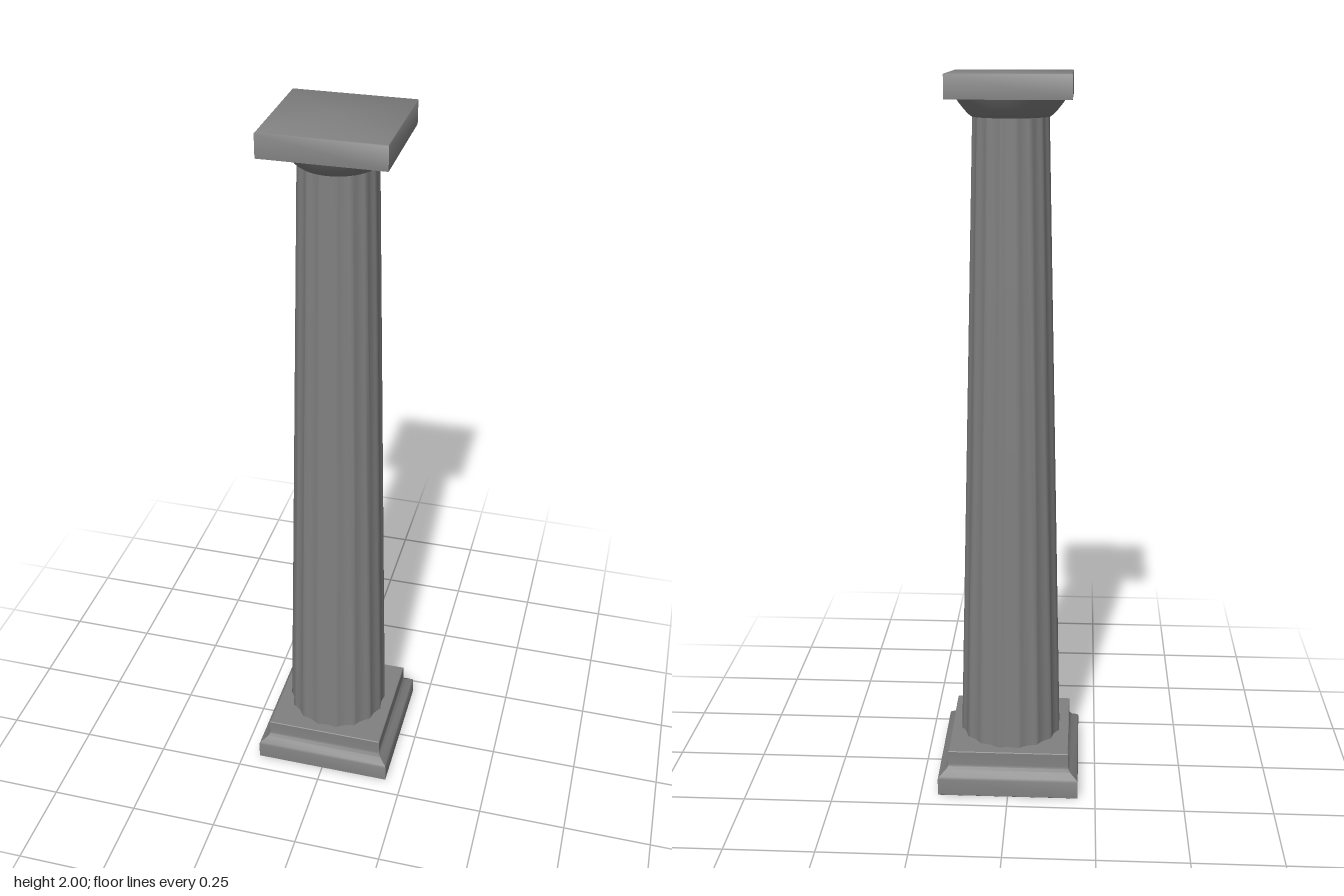
import * as THREE from 'three';
import { toCreasedNormals } from 'three/addons/utils/BufferGeometryUtils.js';

const material = new THREE.MeshStandardMaterial({ color: 0x808080 });

function part(name, geometry, crease) {
  const mesh = new THREE.Mesh(toCreasedNormals(geometry, crease), material);
  mesh.name = name;
  return mesh;
}

// Square moulding: a four-sided lathe whose profile gives half-widths.
function squareMoulding(profile) {
  const points = profile.map(([half, y]) => new THREE.Vector2(half * Math.SQRT2, y));
  return new THREE.LatheGeometry(points, 4, Math.PI / 4);
}

// Tapered shaft with shallow concave flutes.
function flutedShaft(y0, y1, r0, r1, flutes = 16, steps = 6, depth = 0.05) {
  const outline = [];
  for (let i = 0; i < flutes * steps; i++) {
    const t = (i % steps) / steps;
    const r = 1 - depth * Math.sin(Math.PI * t);
    const a = ((i / steps + 0.5) / flutes) * Math.PI * 2;
    outline.push(new THREE.Vector2(r * Math.cos(a), r * Math.sin(a)));
  }
  const geometry = new THREE.ExtrudeGeometry(new THREE.Shape(outline), {
    depth: 1, bevelEnabled: false, steps: 4,
  });
  geometry.rotateX(-Math.PI / 2);
  const p = geometry.attributes.position;
  for (let i = 0; i < p.count; i++) {
    const t = p.getY(i);
    const r = THREE.MathUtils.lerp(r0, r1, t);
    p.setXYZ(i, p.getX(i) * r, THREE.MathUtils.lerp(y0, y1, t), p.getZ(i) * r);
  }
  return geometry;
}

export function createModel() {
  const column = new THREE.Group();
  column.name = 'column';

  // Stepped square base with a sloping shoulder
  column.add(part('base', squareMoulding([
    [0, 0], [0.199, 0], [0.2, 0.001], [0.2, 0.05], [0.197, 0.057], [0.178, 0.07],
    [0.173, 0.078], [0.172, 0.085], [0.172, 0.123], [0.17, 0.125], [0, 0.125],
  ]), 0.7));

  // Fluted shaft, its ridges softly shaded
  column.add(part('shaft', flutedShaft(0.12, 1.9, 0.146, 0.102), 1.2));

  // Round flaring cushion under the top slab
  const cushion = [[0, 1.888], [0.104, 1.888], [0.112, 1.894], [0.124, 1.907],
    [0.136, 1.922], [0.147, 1.938], [0, 1.938]].map(([r, y]) => new THREE.Vector2(r, y));
  column.add(part('capitalCushion', new THREE.LatheGeometry(cushion, 48), 0.6));

  // Square top slab with a softened upper edge
  column.add(part('capitalSlab', squareMoulding([
    [0, 1.937], [0.161, 1.937], [0.161, 1.998], [0.159, 2], [0, 2],
  ]), 0.9));

  return column;
}
